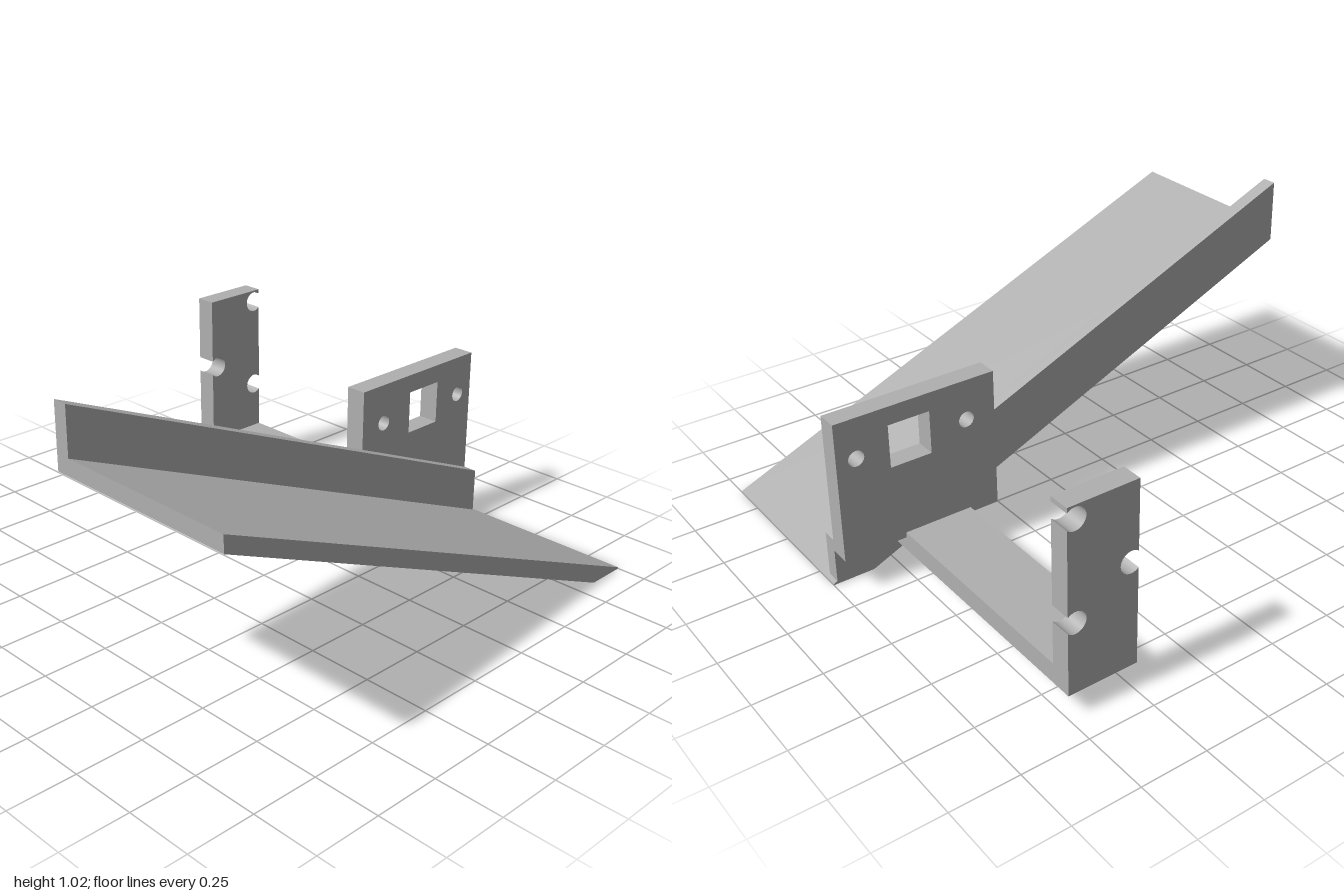
import * as THREE from 'three';

const steel = new THREE.MeshStandardMaterial({ color: 0xb0b0b0 });
steel.name = 'grey steel';

// Extrude an x-y outline (with optional holes) between two z positions
function plate(name, shape, z0, z1) {
  const geometry = new THREE.ExtrudeGeometry(shape, {
    depth: z1 - z0, bevelEnabled: false, curveSegments: 24,
  });
  geometry.translate(0, 0, z0);
  const mesh = new THREE.Mesh(geometry, steel);
  mesh.name = name;
  return mesh;
}

const outline = (points) => new THREE.Shape(points.map(([x, y]) => new THREE.Vector2(x, y)));

function rectangle(x0, y0, x1, y1) {
  return outline([[x0, y0], [x1, y0], [x1, y1], [x0, y1]]);
}

function roundHole(x, y, r) {
  return new THREE.Path().absarc(x, y, r, 0, Math.PI * 2, true);
}

export function createModel() {
  const model = new THREE.Group();
  model.name = 'ramp bracket';

  // Sloping tray with a flat foot at its low end
  model.add(plate('ramp', outline([[-1, 0.79], [0.84, 0], [1, 0], [1, 0.005], [-1, 0.85]]), 0.147, 0.887));

  // Raised flange along the rear edge of the tray
  model.add(plate('flange', outline([[-1, 0.85], [0.985, 0.011], [0.985, 0.185], [-1, 1.025]]), 0.147, 0.202));

  // Mounting plate with a window and two bolt holes
  const mount = rectangle(0.365, 0.14, 0.985, 0.675);
  mount.holes.push(rectangle(0.625, 0.44, 0.785, 0.605));
  for (const x of [0.48, 0.91]) mount.holes.push(roundHole(x, 0.522, 0.03));
  model.add(plate('mountingPlate', mount, 0.068, 0.147));

  // Horizontal arm running back from the plate
  const x0 = 0.48, x1 = 0.745, y0 = 0.085, y1 = 0.77;
  model.add(plate('arm', rectangle(x0, y0, x1, 0.16), -0.808, 0.147));

  // Upright at the end of the arm, with round notches open to its sides
  const r = 0.041, inset = 0.028;
  const a = Math.acos(inset / r);
  const upright = new THREE.Shape();
  upright.moveTo(x0, y0);
  upright.lineTo(x1, y0);
  for (const y of [0.352, 0.722]) {
    upright.absarc(x1 - inset, y, r, -a, a - Math.PI * 2, true);
  }
  upright.lineTo(x1, y1);
  upright.lineTo(x0, y1);
  upright.absarc(x0 + inset, 0.482, r, Math.PI - a, a - Math.PI, true);
  upright.closePath();
  model.add(plate('upright', upright, -0.887, -0.808));

  return model;
}
